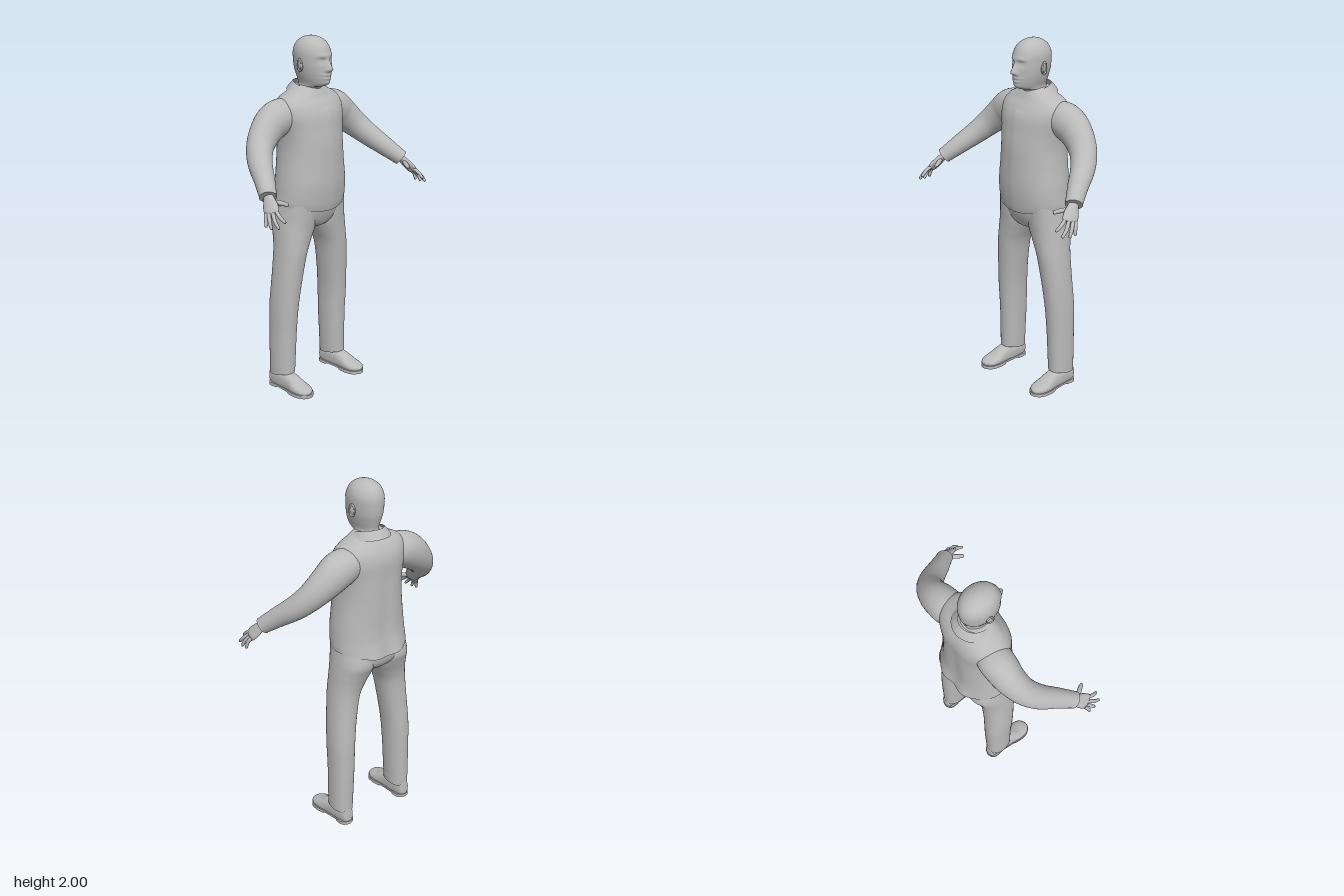
import * as THREE from 'three';

const grey = new THREE.MeshStandardMaterial({ color: 0xbababa });
grey.name = 'plainGrey';
const cloth = new THREE.MeshStandardMaterial({ color: 0xbababa, side: THREE.DoubleSide });
cloth.name = 'plainGreyThin';

const bump = (d, s) => Math.exp(-(d * d) / (2 * s * s));

// Catmull-Rom sampling of rows of numbers
function sampleRows(rows, seg) {
  const out = [], last = rows.length - 1;
  const at = (i) => rows[Math.min(Math.max(i, 0), last)];
  for (let k = 0; k <= last * seg; k++) {
    const i = Math.min(Math.floor(k / seg), last - 1), t = k / seg - i;
    out.push(rows[0].map((_, c) => {
      const a = at(i - 1)[c], b = at(i)[c], d = at(i + 1)[c], e = at(i + 2)[c];
      return b + 0.5 * t * (d - a + t * (2 * a - 5 * b + 4 * d - e + t * (3 * (b - d) + e - a)));
    }));
  }
  return out;
}

// Skin over rows [x, y, z, radiusA, radiusB]; sections are level when "level" is set,
// otherwise square to the path with radiusA along "side". "tweak" moves single vertices.
function loft(rows, { n = 32, seg = 5, p = 2, level = false, side = [1, 0, 0], tweak } = {}) {
  const rs = sampleRows(rows, seg), pos = [], idx = [];
  const centre = (i) => new THREE.Vector3(...rs[Math.min(Math.max(i, 0), rs.length - 1)].slice(0, 3));
  const put = (v) => { if (tweak) tweak(v); pos.push(v.x, v.y, v.z); };
  const ring = (i) => {
    const T = level ? new THREE.Vector3(0, 1, 0) : centre(i + 1).sub(centre(i - 1)).normalize();
    const U = new THREE.Vector3(...side);
    U.addScaledVector(T, -U.dot(T)).normalize();
    const V = T.clone().cross(U);
    for (let j = 0; j < n; j++) {
      const a = (j / n) * Math.PI * 2, c = Math.cos(a), s = Math.sin(a);
      put(centre(i)
        .addScaledVector(U, Math.max(rs[i][3], 0) * Math.sign(c) * Math.abs(c) ** (2 / p))
        .addScaledVector(V, Math.max(rs[i][4], 0) * Math.sign(s) * Math.abs(s) ** (2 / p)));
    }
  };
  rs.forEach((_, i) => ring(i));
  for (let i = 0; i < rs.length - 1; i++) for (let j = 0; j < n; j++) {
    const a = i * n + j, b = i * n + (j + 1) % n;
    idx.push(a, b, a + n, b, b + n, a + n);
  }
  // end caps with their own vertices, so that the rims stay sharp
  [0, rs.length - 1].forEach((i, end) => {
    const o = pos.length / 3;
    ring(i);
    put(centre(i));
    for (let j = 0; j < n; j++) {
      const k = (j + 1) % n;
      idx.push(o + n, o + (end ? j : k), o + (end ? k : j));
    }
  });
  const g = new THREE.BufferGeometry();
  g.setAttribute('position', new THREE.Float32BufferAttribute(pos, 3));
  g.setIndex(idx);
  g.computeVertexNormals();
  return g;
}

export function createModel() {
  const model = new THREE.Group();
  model.name = 'standingMan';
  const add = (name, geo, mat = grey, parent = model) => {
    const m = new THREE.Mesh(geo, mat);
    m.name = name;
    parent.add(m);
    return m;
  };

  // Head and neck, with the face pressed into the front
  const face = (v) => {
    if (v.z < -0.03 || v.y < 1.73) return;
    const ax = Math.abs(v.x), f = Math.min((v.z + 0.03) / 0.05, 1);
    let d = 0.03 * bump(v.x, 0.011) * bump(v.y - 1.83, v.y < 1.83 ? 0.009 : 0.025);
    d += 0.008 * bump(ax - 0.015, 0.007) * bump(v.y - 1.826, 0.008);
    d -= 0.013 * bump(ax - 0.033, 0.014) * bump(v.y - 1.876, 0.011);
    d += 0.006 * bump(ax - 0.034, 0.012) * bump(v.y - 1.874, 0.006);
    d += 0.006 * bump(ax - 0.03, 0.022) * bump(v.y - 1.9, 0.008);
    d += 0.007 * bump(v.x, 0.02) * (bump(v.y - 1.798, 0.006) + bump(v.y - 1.782, 0.006));
    d -= 0.006 * bump(v.x, 0.022) * bump(v.y - 1.79, 0.003);
    d += 0.008 * bump(v.x, 0.02) * bump(v.y - 1.755, 0.011);
    v.z += d * f;
  };
  add('head', loft([
    [0, 1.64, -0.09, 0.075, 0.075], [0, 1.72, -0.088, 0.066, 0.072],
    [0, 1.737, -0.066, 0.06, 0.09], [0, 1.752, -0.056, 0.062, 0.1],
    [0, 1.785, -0.056, 0.073, 0.109], [0, 1.825, -0.061, 0.083, 0.115],
    [0, 1.87, -0.064, 0.088, 0.117], [0, 1.92, -0.067, 0.088, 0.113],
    [0, 1.96, -0.068, 0.074, 0.094], [0, 1.985, -0.069, 0.049, 0.062],
    [0, 1.997, -0.07, 0.022, 0.028], [0, 2, -0.07, 0.001, 0.001],
  ], { n: 96, seg: 8, level: true, tweak: face }));

  // Jacket body, with raised side hem, back groove and front overlap
  add('jacketBody', loft([
    [0, 1.05, -0.1, 0.222, 0.165], [0, 1.1, -0.092, 0.222, 0.167],
    [0, 1.2, -0.083, 0.215, 0.167], [0, 1.32, -0.083, 0.2, 0.165],
    [0, 1.42, -0.084, 0.193, 0.163], [0, 1.5, -0.088, 0.2, 0.157],
    [0, 1.58, -0.094, 0.215, 0.15], [0, 1.635, -0.1, 0.215, 0.132],
    [0, 1.675, -0.103, 0.185, 0.108], [0, 1.7, -0.1, 0.135, 0.092],
    [0, 1.725, -0.098, 0.088, 0.078], [0, 1.735, -0.098, 0.07, 0.07],
  ], {
    n: 72, seg: 6, p: 2.15, level: true, tweak: (v) => {
      const low = Math.max(0, (1.14 - v.y) / 0.09);
      if (v.z < -0.15) v.z += 0.012 * bump(v.x, 0.035) * bump(v.y - 1.25, 0.25) - 0.012 * low * bump(Math.abs(v.x) - 0.08, 0.04);
      if (v.z > 0 && v.x > -0.001 && v.y < 1.62) v.z += 0.004 * Math.exp(-v.x / 0.04);
      v.y += 0.035 * low * (v.x / 0.22) ** 2;
    },
  }));

  // Turned-down collar, open at the throat with two points
  const cp = [], ci = [], steps = 48;
  for (let i = 0; i <= steps; i++) {
    const a = (i / steps * 2 - 1) * 2.85, f = Math.abs(a) / 2.85, s = Math.sin(a), c = Math.cos(a);
    const tip = bump(f - 0.86, 0.07);
    cp.push(0.079 * s, 1.755 - 0.065 * f ** 2.5, -0.1 - 0.08 * c);
    cp.push((0.1 + 0.012 * tip) * s, 1.735 - 0.06 * f ** 2 - 0.02 * tip, -0.1 - 0.1 * c);
    cp.push((0.115 + 0.04 * tip) * s, 1.712 - 0.045 * f ** 2 - 0.035 * tip, -0.1 - 0.116 * c + 0.012 * tip);
    if (i < steps) for (const k of [0, 1]) {
      const q = i * 3 + k;
      ci.push(q, q + 3, q + 1, q + 1, q + 3, q + 4);
    }
  }
  const collar = new THREE.BufferGeometry();
  collar.setAttribute('position', new THREE.Float32BufferAttribute(cp, 3));
  collar.setIndex(ci);
  collar.computeVertexNormals();
  add('collar', collar, cloth);

  // Seat of the trousers
  add('trouserSeat', loft([
    [0, 0.935, -0.09, 0.03, 0.06], [0, 0.955, -0.092, 0.1, 0.1],
    [0, 0.99, -0.1, 0.185, 0.128], [0, 1.04, -0.098, 0.208, 0.143], [0, 1.1, -0.09, 0.205, 0.145],
  ], { n: 48, level: true, p: 2.2 }));

  for (const s of [1, -1]) {
    const half = new THREE.Group();
    half.name = s > 0 ? 'leftSide' : 'rightSide';
    model.add(half);
    const part = (name, rows, opt) => add(name, loft(rows.map(([x, ...r]) => [x * s, ...r]), opt), grey, half);

    // Ear with a raised rim
    const ear = add('ear', new THREE.SphereGeometry(1, 20, 14), grey, half);
    ear.scale.set(0.009, 0.032, 0.02);
    const rim = add('earRim', new THREE.TorusGeometry(0.022, 0.005, 8, 24), grey, half);
    rim.scale.set(0.8, 1.35, 1);
    ear.position.set(s * 0.087, 1.848, -0.07);
    rim.position.set(s * 0.092, 1.85, -0.072);
    ear.rotation.set(-0.15, s * 0.25, 0);
    rim.rotation.set(0, Math.PI / 2 + s * 0.25, 0);

    // Sleeve and hand
    part('sleeve', [
      [0.1, 1.585, -0.115, 0.07, 0.07], [0.17, 1.585, -0.12, 0.092, 0.092],
      [0.235, 1.565, -0.122, 0.092, 0.1], [0.3, 1.522, -0.118, 0.083, 0.092],
      [0.375, 1.455, -0.09, 0.073, 0.076], [0.435, 1.387, -0.032, 0.066, 0.064],
      [0.487, 1.32, 0.052, 0.055, 0.054], [0.53, 1.265, 0.118, 0.047, 0.045], [0.538, 1.255, 0.129, 0.047, 0.045],
    ], { n: 36, side: [0, 0, 1] });
    part('palm', [
      [0.52, 1.275, 0.105, 0.026, 0.02], [0.54, 1.25, 0.135, 0.029, 0.019],
      [0.555, 1.222, 0.16, 0.041, 0.018], [0.57, 1.195, 0.186, 0.043, 0.016],
      [0.577, 1.184, 0.197, 0.036, 0.01],
    ], { n: 24, side: [-0.3 * s, 0.35, 0.6] });
    [
      [[0.588, 1.185, 0.163], [0.603, 1.158, 0.178], [0.61, 1.125, 0.185]],
      [[0.585, 1.187, 0.18], [0.604, 1.155, 0.205], [0.609, 1.122, 0.222]],
      [[0.575, 1.19, 0.2], [0.594, 1.16, 0.232], [0.597, 1.13, 0.262]],
      [[0.56, 1.2, 0.21], [0.567, 1.178, 0.242], [0.562, 1.155, 0.272]],
      [[0.54, 1.235, 0.155], [0.51, 1.23, 0.192], [0.492, 1.222, 0.225]],
    ].forEach(([a, b, c], i) => {
      const r = i === 4 ? 0.013 : 0.0105;
      const tip = c.map((v, k) => v + (c[k] - b[k]) * 0.08);
      part(i === 4 ? 'thumb' : 'finger', [[...a, r, r], [...b, r * 0.95, r * 0.95], [...c, r * 0.7, r * 0.7], [...tip, 0.001, 0.001]],
        { n: 12, seg: 4, side: [-0.3 * s, 0.35, 0.6] });
    });

    // Trouser leg
    part('trouserLeg', [
      [0.211, 0.09, -0.107, 0.06, 0.078], [0.208, 0.2, -0.107, 0.063, 0.08],
      [0.204, 0.35, -0.106, 0.066, 0.084], [0.2, 0.5, -0.1, 0.07, 0.089],
      [0.186, 0.65, -0.09, 0.076, 0.091], [0.166, 0.8, -0.083, 0.083, 0.098],
      [0.145, 0.88, -0.087, 0.096, 0.107], [0.124, 0.95, -0.096, 0.111, 0.121],
      [0.116, 1.01, -0.102, 0.111, 0.133], [0.112, 1.1, -0.09, 0.102, 0.128],
    ], {
      n: 40, level: true, p: 2.2, tweak: (v) => {
        if (v.y < 0.15) v.y += 0.15 * (v.z + 0.107) * (0.15 - v.y) / 0.06;
      },
    });

    // Shoe upper, sole and heel
    part('shoe', [
      [0.213, 0.05, -0.189, 0.012, 0.02], [0.213, 0.05, -0.178, 0.034, 0.05],
      [0.213, 0.052, -0.11, 0.043, 0.066], [0.215, 0.045, -0.03, 0.047, 0.054],
      [0.217, 0.033, 0.03, 0.054, 0.036], [0.217, 0.029, 0.075, 0.051, 0.025],
      [0.215, 0.026, 0.105, 0.033, 0.017], [0.213, 0.024, 0.117, 0.006, 0.006],
    ], { n: 32, p: 2.3, tweak: (v) => { v.y = Math.max(v.y, 0.012); } });
    const edge = [[0.213, -0.194], [0.252, -0.175], [0.255, -0.1], [0.264, -0.03], [0.275, 0.03], [0.268, 0.085],
      [0.24, 0.116], [0.205, 0.12], [0.17, 0.095], [0.158, 0.04], [0.168, -0.03], [0.17, -0.1], [0.174, -0.175]];
    const outline = new THREE.CatmullRomCurve3(edge.map(([x, z]) => new THREE.Vector3(x * s, -z, 0)), true).getPoints(52);
    const slab = (pts, depth, y) => new THREE.ExtrudeGeometry(new THREE.Shape(pts.map((q) => new THREE.Vector2(q.x, q.y))),
      { depth, bevelEnabled: false }).rotateX(-Math.PI / 2).translate(0, y, 0);
    add('sole', slab(outline, 0.012, 0.007), grey, half);
    add('heel', slab(outline.filter((q) => q.y > 0.1), 0.008, 0), grey, half);
    add('foreSole', slab(outline.filter((q) => q.y < 0.02), 0.008, 0), grey, half);
  }
  return model;
}
